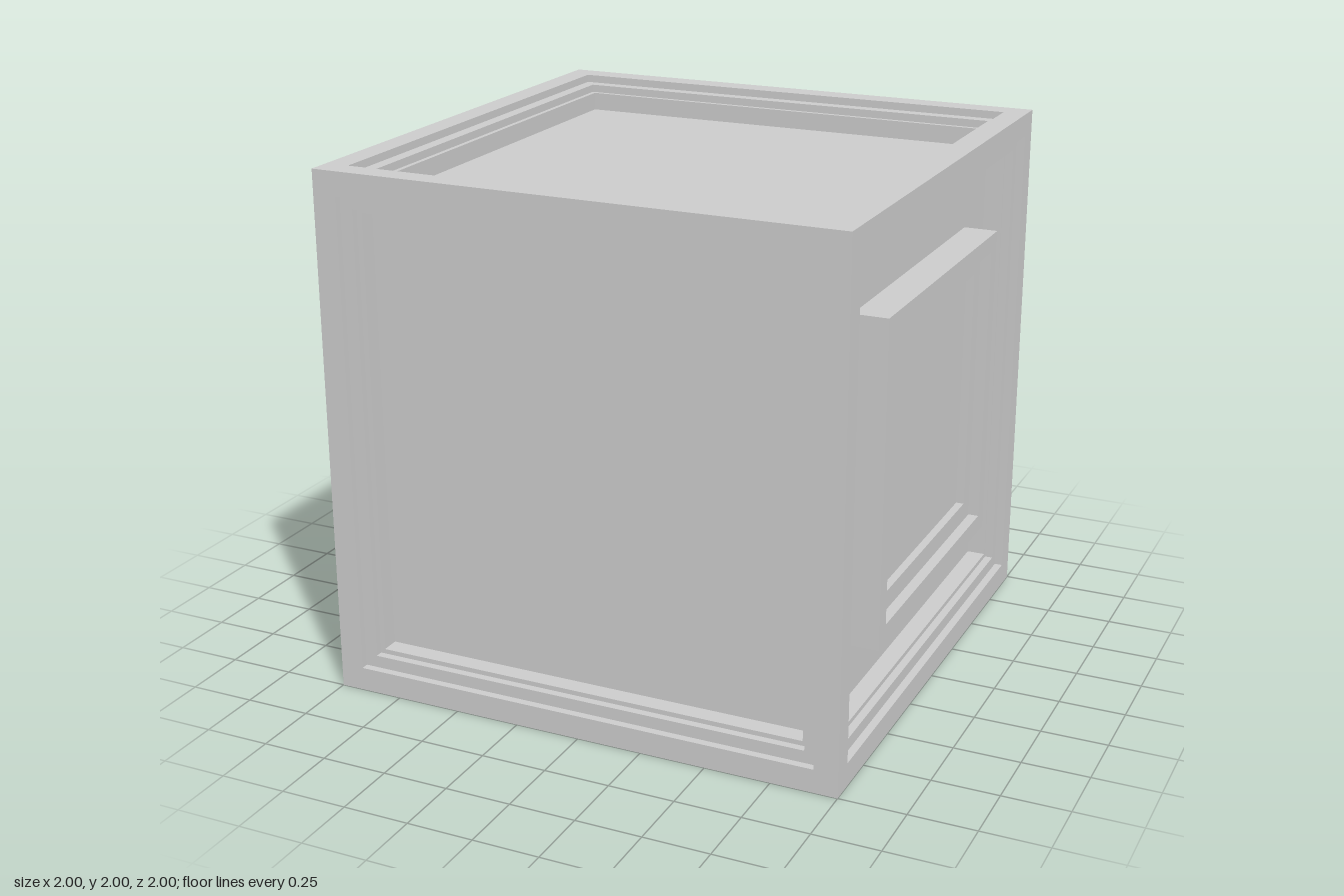
import * as THREE from 'three';

const material = new THREE.MeshStandardMaterial({ color: 0xcccccc, flatShading: true });

// Square stepped surface facing +y: profile of [half width, depth below the cube face], outside to centre
function squareSteps(profile) {
  const points = profile.map(([half, depth]) => new THREE.Vector2(half * Math.SQRT2, 1 - depth));
  const geometry = new THREE.LatheGeometry(points, 4, Math.PI / 4).toNonIndexed();
  geometry.computeVertexNormals();
  return geometry;
}

// Mitred frame stepping down to the recessed floor of a side
const frameGeometry = squareSteps([
  [1, 0], [0.91, 0], [0.91, 0.03], [0.863, 0.03], [0.863, 0.06],
  [0.845, 0.06], [0.845, 0.13], [0, 0.13],
]);

// Raised panel, flush with the frame, with a stepped inset
const panelGeometry = squareSteps([
  [0.61, 0.13], [0.61, 0], [0.54, 0], [0.54, 0.04],
  [0.467, 0.04], [0.467, 0.07], [0, 0.07],
]);

export function createModel() {
  const model = new THREE.Group();
  model.name = 'panelledCube';

  const q = Math.PI / 2;
  const sides = [
    { name: 'top', rotation: [0, 0, 0] },
    { name: 'bottom', rotation: [2 * q, 0, 0] },
    { name: 'front', rotation: [q, 0, 0] },
    { name: 'back', rotation: [-q, 0, 0], panel: [-0.01, 0, 0] },
    { name: 'left', rotation: [0, 0, -q], panel: [0, 0, 0.015] },
    { name: 'right', rotation: [0, 0, q] },
  ];

  for (const { name, rotation, panel } of sides) {
    const side = new THREE.Group();
    side.name = `${name}Side`;

    const frame = new THREE.Mesh(frameGeometry, material);
    frame.name = `${name}Frame`;
    side.add(frame);

    if (panel) {
      const raised = new THREE.Mesh(panelGeometry, material);
      raised.name = `${name}RaisedPanel`;
      raised.position.set(...panel);
      side.add(raised);
    }

    side.rotation.set(...rotation);
    side.position.y = 1;
    model.add(side);
  }
  return model;
}
